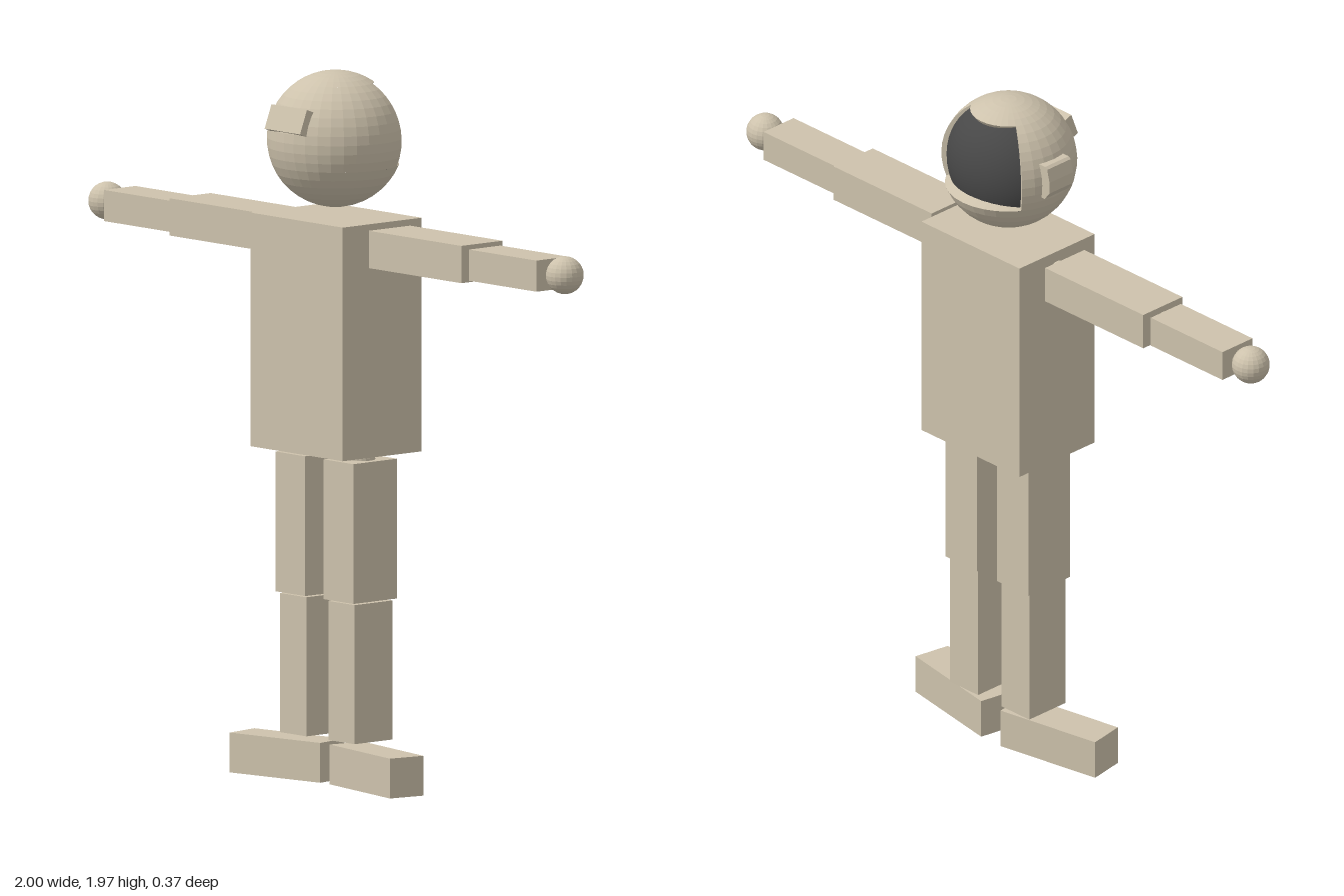
import * as THREE from 'three';

const RAD = Math.PI / 180;
const CZ = -0.01; // depth centre of the body

export function createModel() {
  const root = new THREE.Group();
  const suit = new THREE.MeshStandardMaterial({ color: 0xcdc2ac, flatShading: true });
  suit.name = 'warm beige';
  const glass = new THREE.MeshStandardMaterial({ color: 0x484848 });
  glass.name = 'dark grey';

  const add = (name, geo, x, y, z, parent = root, mat = suit) => {
    const mesh = new THREE.Mesh(geo, mat);
    mesh.name = name;
    mesh.position.set(x, y, z);
    parent.add(mesh);
    return mesh;
  };
  const box = (w, h, d) => new THREE.BoxGeometry(w, h, d);
  const ball = (r) => new THREE.SphereGeometry(r, 20, 14);

  add('torso', box(0.383, 0.645, 0.287), 0, 1.243, CZ);

  // Limbs, mirrored to both sides
  for (const [side, s] of [['left', 1], ['right', -1]]) {
    const part = (name, geo, x, y, z = CZ) => add(side + name, geo, s * x, y, z);
    part('Shoulder', ball(0.036), 0.205, 1.502);
    part('UpperArm', box(0.383, 0.103, 0.15), 0.413, 1.502);
    part('Elbow', ball(0.034), 0.61, 1.502);
    part('Forearm', box(0.28, 0.086, 0.115), 0.756, 1.5);
    part('Hand', ball(0.052), 0.948, 1.503);
    part('Hip', ball(0.042), 0.1, 0.9);
    part('Thigh', box(0.123, 0.386, 0.159), 0.1, 0.71, -0.011);
    part('Knee', ball(0.038), 0.1, 0.515);
    part('Shin', box(0.109, 0.384, 0.138), 0.1, 0.32, -0.011);
    part('Foot', box(0.317, 0.11, 0.107), 0.185, 0.055, 0.005).rotation.y = -s * 10 * RAD;
  }

  // Helmet: a sphere made of three bands, the middle one open at the back (-z)
  const helmet = new THREE.Group();
  helmet.name = 'helmet';
  helmet.position.set(0, 1.778, -0.008);
  root.add(helmet);
  const R = 0.188, half = 57, top = 34, bottom = 112;
  const band = (name, phi, phiLen, t0, t1, w, h) => add(name, new THREE.SphereGeometry(
    R, w, h, phi * RAD, phiLen * RAD, t0 * RAD, (t1 - t0) * RAD), 0, 0, 0, helmet);
  band('helmetCrown', 0, 360, 0, top, 32, 5);
  band('helmetSides', 270 + half, 360 - 2 * half, top, bottom, 22, 10);
  band('helmetBase', 0, 360, bottom, 180, 32, 8);

  // Rim walls run inward around the opening
  const path = [];
  const n = 10;
  const corners = [[-half, top], [half, top], [half, bottom], [-half, bottom]];
  corners.forEach((a, i) => {
    const b = corners[(i + 1) % 4];
    for (let k = 0; k < n; k++) {
      path.push([a[0] + (b[0] - a[0]) * k / n, a[1] + (b[1] - a[1]) * k / n]);
    }
  });
  const pos = [], idx = [];
  path.forEach(([lon, theta], i) => {
    for (const r of [R, 0.155]) {
      const v = new THREE.Vector3().setFromSphericalCoords(r, theta * RAD, (180 + lon) * RAD);
      pos.push(v.x, v.y, v.z);
    }
    const a = 2 * i, b = 2 * ((i + 1) % path.length);
    // both windings, so the thin wall shows from either side
    idx.push(a, b, a + 1, b, b + 1, a + 1, a, a + 1, b, b, a + 1, b + 1);
  });
  const rim = new THREE.BufferGeometry();
  rim.setAttribute('position', new THREE.Float32BufferAttribute(pos, 3));
  rim.setIndex(idx);
  const rimGeo = rim.toNonIndexed();
  rimGeo.computeVertexNormals();
  add('visorRim', rimGeo, 0, 0, 0, helmet);

  // Dark visor: flattened half sphere inside the opening
  const visor = new THREE.SphereGeometry(1, 32, 24, Math.PI, Math.PI);
  visor.scale(0.183, 0.186, 0.155);
  add('visor', visor, 0, 0, 0, helmet, glass);

  // Tilted pack on the helmet side opposite the visor
  const pack = new THREE.Group();
  pack.name = 'helmetPack';
  pack.rotation.x = -21 * RAD;
  helmet.add(pack);
  add('packBox', box(0.147, 0.07, 0.045), 0, 0, 0.171, pack);

  // Ear unit on the right side, bevelled at its outer edges
  const ear = new THREE.Shape([[-0.15, 0.058], [-0.192, 0.058], [-0.2, 0.052], [-0.209, 0.015],
    [-0.209, -0.018], [-0.19, -0.042], [-0.15, -0.042]].map(([x, y]) => new THREE.Vector2(x, y)));
  const earGeo = new THREE.ExtrudeGeometry(ear, { depth: 0.09, bevelEnabled: false });
  add('earUnit', earGeo, 0, 0.008, -0.048, helmet);

  return root;
}
